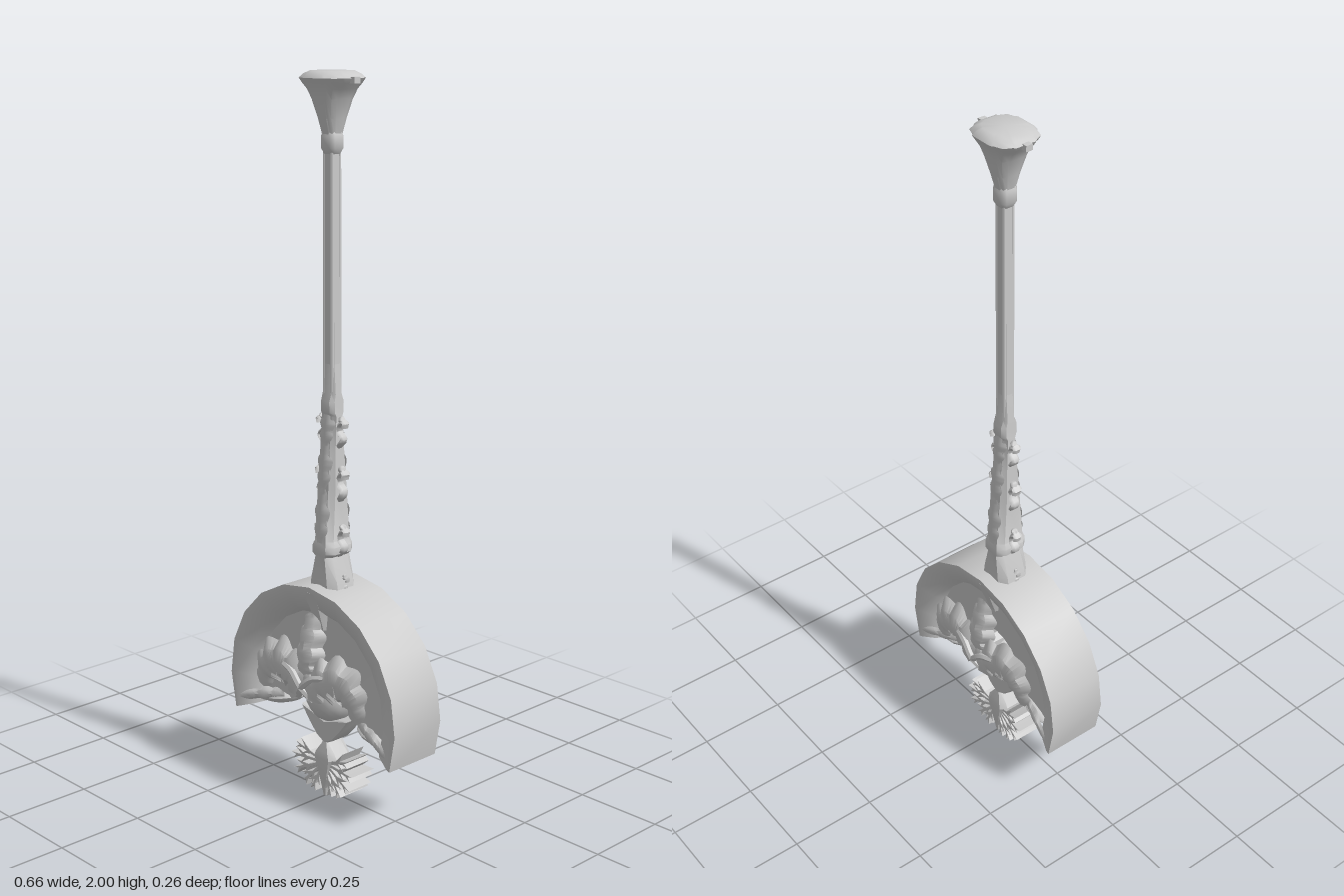
import * as THREE from 'three';
import { toCreasedNormals } from 'three/addons/utils/BufferGeometryUtils.js';

const mat = new THREE.MeshStandardMaterial({ color: 0xcccccc, side: THREE.DoubleSide });
const V = (x, y, z) => new THREE.Vector3(x, y, z);

function add(parent, geo, name, crease = 0.7) {
  const mesh = new THREE.Mesh(toCreasedNormals(geo, crease), mat);
  mesh.name = name;
  parent.add(mesh);
}

// grid of cross-sections, each an array of points
function skin(rows, closed) {
  const n = rows[0].length, pos = [], idx = [];
  rows.forEach(r => r.forEach(p => pos.push(p.x, p.y, p.z)));
  for (let i = 0; i < rows.length - 1; i++) {
    for (let j = 0; j < (closed ? n : n - 1); j++) {
      const a = i * n + j, b = i * n + (j + 1) % n, c = a + n, d = b + n;
      idx.push(a, c, b, b, c, d);
    }
  }
  const g = new THREE.BufferGeometry();
  g.setAttribute('position', new THREE.Float32BufferAttribute(pos, 3));
  g.setIndex(idx);
  g.computeVertexNormals();
  return g;
}

// loft of a unit outline through [y, halfX, halfZ] levels, closed at both ends
function loft(outline, levels) {
  const all = [[levels[0][0], 0, 0], ...levels, [levels.at(-1)[0], 0, 0]];
  return skin(all.map(([y, hx, hz]) => outline.map(([u, v]) => V(u * hx, y, v * hz))), true);
}
const quarter = pts => [0, 1, 2, 3].flatMap(k => pts.map(([u, v]) =>
  [[u, v], [v, -u], [-u, -v], [-v, u]][k]));
const octagon = quarter([[0.6, 1], [1, 0.6]]);
const capOutline = quarter([[0.42, 1], [0.5, 0.92], [0.8, 0.8], [0.92, 0.5], [1, 0.42]]);

// scalloped leaf with a raised midrib, lying across a curve in the xy plane
function leaf(points, width, lobes, rib = 0.02) {
  const curve = new THREE.CatmullRomCurve3(points.map(p => V(...p)));
  const rows = [], steps = lobes * 6;
  for (let i = 0; i <= steps; i++) {
    const t = i / steps, p = curve.getPoint(t), d = curve.getTangent(t);
    const side = V(-d.y, d.x, 0).normalize();
    const notch = (t * lobes) % 1;
    const saw = 0.7 + 0.3 * Math.sin(Math.PI * Math.pow(notch, 1.5));
    const w = width * saw * Math.pow(Math.sin(Math.PI * (0.08 + 0.9 * t)), 0.6);
    rows.push([-1, -0.55, 0, 0.55, 1].map(s => {
      const q = p.clone().addScaledVector(side, s * w);
      q.z += rib * (s === 0 ? 0.6 : Math.abs(s) < 0.9 ? 0.2 : -1.2) * Math.sin(Math.PI * t);
      return q;
    }));
  }
  return skin(rows, false);
}

function extruded(pts, depth, bevel = 0.004) {
  const g = new THREE.ExtrudeGeometry(new THREE.Shape(pts.map(p => new THREE.Vector2(...p))), {
    depth: depth - 2 * bevel, bevelEnabled: true, bevelSize: bevel, bevelThickness: bevel, bevelSegments: 1,
  });
  return g.translate(0, 0, -depth / 2 + bevel);
}

function makePole() {
  const pole = new THREE.Group();
  pole.name = 'pole';
  add(pole, loft(octagon, [[0.61, 0.056, 0.05], [0.645, 0.05, 0.05], [0.71, 0.03, 0.046],
    [0.72, 0.042, 0.05], [0.74, 0.042, 0.05], [0.755, 0.034, 0.045], [0.9, 0.034, 0.034],
    [1.0, 0.03, 0.027], [1.1, 0.028, 0.019], [1.11, 0.027, 0.026], [1.14, 0.026, 0.026],
    [1.16, 0.025, 0.018], [1.24, 0.019, 0.017]]), 'taperedBase');
  add(pole, loft(octagon, [[1.2, 0.019, 0.017], [1.8, 0.016, 0.016]]), 'shaft');
  // fluting rods at the corners of the shaft
  for (const a of [-1, 1]) for (const b of [-1, 1]) {
    add(pole, new THREE.CylinderGeometry(0.005, 0.006, 0.65, 6).translate(a * 0.013, 1.48, b * 0.013), 'flute');
  }
  add(pole, loft(octagon, [[1.79, 0.018, 0.018], [1.805, 0.026, 0.025], [1.835, 0.026, 0.025],
    [1.85, 0.021, 0.021]]), 'collar', 1);
  add(pole, loft(capOutline, [[1.835, 0.022, 0.022], [1.88, 0.031, 0.034], [1.93, 0.046, 0.048],
    [1.955, 0.06, 0.056], [1.97, 0.074, 0.064], [1.982, 0.081, 0.071], [1.992, 0.07, 0.063],
    [2.0, 0.052, 0.05]]), 'flaredCap', 0.8);
  for (const s of [-1, 1]) {
    add(pole, new THREE.BoxGeometry(0.022, 0.016, 0.02).translate(s * 0.081, 1.978, 0), 'capTab');
    // curled leaves up each side, closed by a bud
    for (const [y, x, size] of [[1.075, 0.037, 0.8], [0.935, 0.038, 0.95], [0.775, 0.042, 0.85], [0.645, 0.048, 0.5]]) {
      add(pole, new THREE.TubeGeometry(new THREE.CatmullRomCurve3([
        V(s * 0.024, y - 0.075 * size, 0), V(s * (x + 0.008), y - 0.045 * size, 0),
        V(s * (x - 0.01), y - 0.02 * size, 0), V(s * x, y + 0.005, 0),
        V(s * (x + 0.014), y + 0.014 * size, 0), V(s * (x + 0.011), y - 0.005 * size, 0),
      ]), 18, 0.009 * size, 6).scale(1, 1, 1.8), 'sideScroll', 1);
      add(pole, new THREE.SphereGeometry(0.012 * size, 8, 6).translate(s * x, y + 0.02 * size, 0), 'bud', 2);
    }
  }
  // leaves along the front and back faces
  for (const turn of [0, Math.PI]) {
    for (const [y, z, h] of [[0.75, 0.048, 0.16], [0.9, 0.037, 0.14], [1.02, 0.028, 0.11]]) {
      add(pole, leaf([[0, y, z], [0, y + h / 2, z - 0.005], [0, y + h, z - 0.012]], 0.03, 3, 0.005)
        .rotateY(turn), 'faceLeaf', 0.6);
    }
  }
  return pole;
}

function makeCanopy() {
  const canopy = new THREE.Group();
  canopy.name = 'canopy';
  // arched body with a sloping rim and a stepped recess on both faces
  const half = [[0.33, 0.088], [0.318, 0.087], [0.268, 0.068], [0.245, 0.04], [0.16, 0.034], [0.105, 0.03]];
  const profile = [...half.map(([r, a]) => [r, -a]).reverse(), ...half];
  const loop = [...profile, profile[0]].map(p => new THREE.Vector2(...p));
  const sweep = 1.91, centreY = 0.302;
  const body = new THREE.LatheGeometry(loop, 12, -sweep, 2 * sweep);
  add(canopy, body.rotateX(-Math.PI / 2).translate(0, centreY, 0), 'arch', 0.6);
  // rib under the pole
  add(canopy, loft(octagon, [[0.5, 0.02, 0.045], [0.56, 0.028, 0.066], [0.615, 0.045, 0.086]]), 'crownRib');
  for (const s of [-1, 1]) {
    const cap = new THREE.ShapeGeometry(new THREE.Shape(profile.map(p => new THREE.Vector2(...p))));
    cap.rotateX(Math.PI / 2).rotateZ(Math.PI / 2 - s * sweep).translate(0, centreY, 0);
    add(canopy, cap, 'archEnd');
    // swollen underside of each end
    add(canopy, new THREE.SphereGeometry(1, 14, 8).scale(0.075, 0.022, 0.062)
      .rotateZ(s * -0.2).translate(s * 0.195, 0.243, 0), 'endSwell', 1);
  }
  return canopy;
}

function makeFaceOrnament() {
  const face = new THREE.Group();
  face.name = 'leafOrnament';
  add(face, leaf([[0, 0.37, 0.105], [0, 0.43, 0.104], [0, 0.5, 0.09], [0, 0.558, 0.08]], 0.056, 4), 'middleLeaf', 0.6);
  add(face, new THREE.CylinderGeometry(0.02, 0.026, 0.09, 6).rotateX(Math.PI / 2).translate(0, 0.38, 0.06), 'leafStem');
  for (const s of [-1, 1]) {
    add(face, leaf([[s * 0.01, 0.335, 0.116], [s * 0.065, 0.378, 0.108], [s * 0.125, 0.39, 0.1],
      [s * 0.17, 0.355, 0.098], [s * 0.195, 0.295, 0.09]], 0.074, 6), 'sideLeaf', 0.6);
    add(face, leaf([[s * 0.15, 0.265, 0.045], [s * 0.21, 0.255, 0.065], [s * 0.295, 0.23, 0.088]],
      0.022, 3, 0.008), 'endLeaf', 0.6);
    // crossed stems under the leaves
    add(face, new THREE.TubeGeometry(new THREE.CatmullRomCurve3([
      V(s * -0.03, 0.315, 0.1), V(0, 0.35, 0.119), V(s * 0.04, 0.385, 0.115), V(s * 0.08, 0.395, 0.106),
    ]), 12, 0.01, 6), 'crossedStem', 1);
  }
  return face;
}

function makePendant() {
  const pendant = new THREE.Group();
  pendant.name = 'pendant';
  add(pendant, new THREE.SphereGeometry(1, 14, 10).scale(0.076, 0.085, 0.075).translate(0, 0.305, 0), 'bulb', 1);
  add(pendant, extruded([[0, 0.162], [0.03, 0.178], [0.06, 0.21], [0.09, 0.248], [0.05, 0.238],
    [0, 0.222], [-0.05, 0.238], [-0.09, 0.248], [-0.06, 0.21], [-0.03, 0.178]], 0.062), 'crescentCup', 0.5);
  add(pendant, loft(octagon, [[0, 0.005, 0.03], [0.05, 0.02, 0.036], [0.115, 0.046, 0.042],
    [0.135, 0.032, 0.038], [0.17, 0.008, 0.028]]), 'tasselCore', 0.5);
  // twice-forked sprigs fanning out from the core
  const sprig = L => [[0, -0.004], [L * 0.48, -0.003], [L * 0.74, -0.022], [L * 0.6, -0.003],
    [L * 0.78, -0.003], [L * 0.95, -0.014], [L * 0.86, -0.001], [L, 0.004], [L * 0.8, 0.003],
    [L * 0.68, 0.004], [L * 0.86, 0.024], [L * 0.52, 0.004], [0, 0.004]];
  const fan = [[0.32, 0.11], [-0.04, 0.122], [-0.42, 0.12], [-0.8, 0.108], [-1.15, 0.095]];
  for (const [angle, length] of fan) for (const s of [-1, 1]) {
    const g = extruded(sprig(length), 0.082, 0.001);
    const p = g.attributes.position;
    for (let i = 0; i < p.count; i++) p.setZ(i, p.getZ(i) * (0.75 + 0.32 * p.getX(i) / length));
    g.rotateZ(angle);
    if (s < 0) g.rotateY(Math.PI);
    add(pendant, g.translate(0, 0.1, 0), 'sprig', 0.4);
  }
  return pendant;
}

export function createModel() {
  const model = new THREE.Group();
  model.name = 'ornament';
  const front = makeFaceOrnament(), back = makeFaceOrnament();
  back.rotation.y = Math.PI;
  model.add(makePole(), makeCanopy(), front, back, makePendant());
  return model;
}
